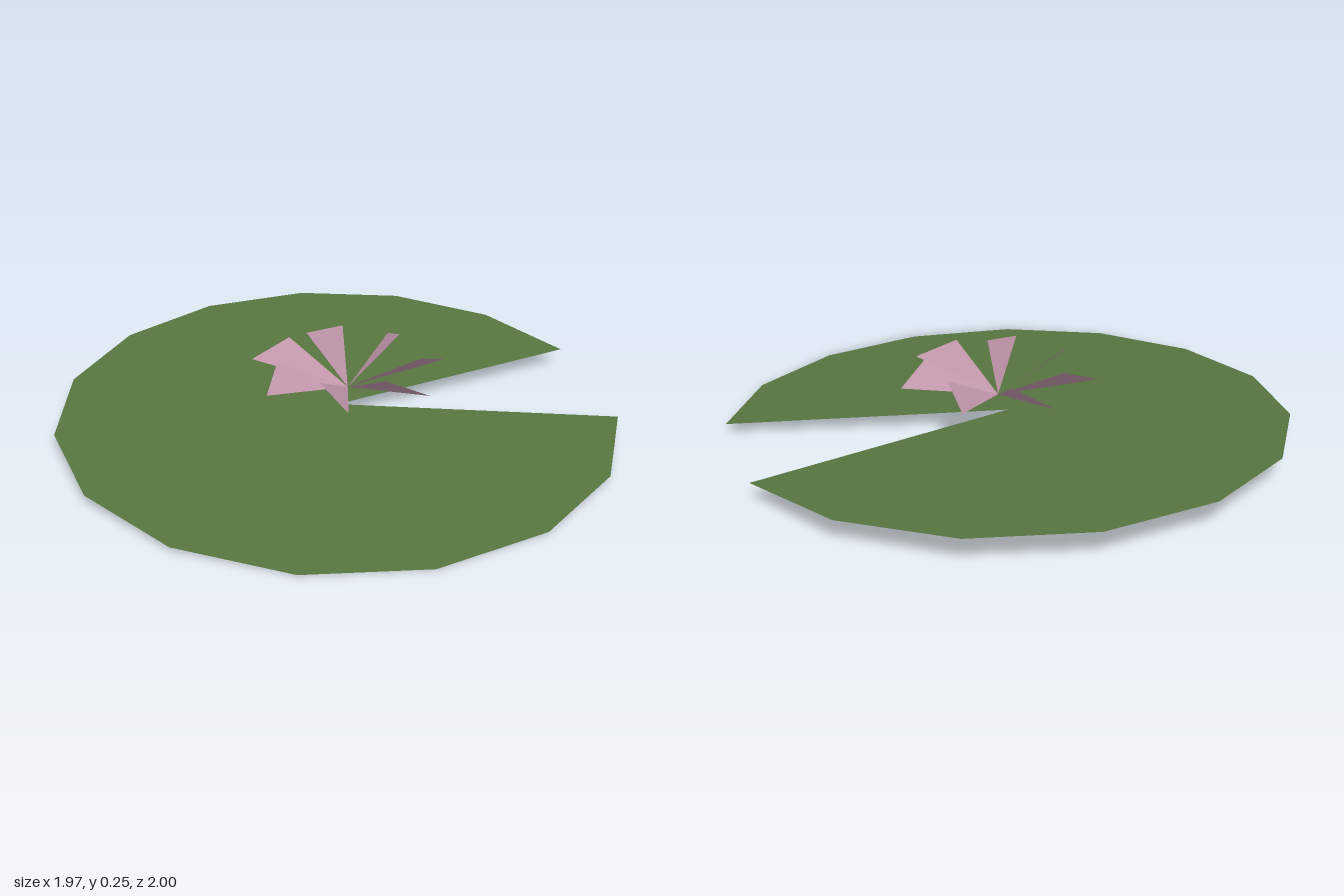
import * as THREE from 'three';

const padGreen = new THREE.MeshStandardMaterial({ name: 'padGreen', color: 0x56753f, side: THREE.DoubleSide });
const petalPink = new THREE.MeshStandardMaterial({ name: 'petalPink', color: 0xc095aa, side: THREE.DoubleSide });

// Notched, slightly tilted leaf with a barely raised middle
function createPad() {
  const halfNotch = 0.274;
  const disc = new THREE.CircleGeometry(1.002, 14, halfNotch, Math.PI * 2 - halfNotch * 2);
  disc.rotateX(-Math.PI / 2);
  const pos = disc.attributes.position;
  for (let i = 0; i < pos.count; i++) pos.setY(i, -0.05 * pos.getZ(i));
  pos.setY(0, 0.01);
  const geometry = disc.toNonIndexed();
  geometry.computeVertexNormals();
  const pad = new THREE.Mesh(geometry, padGreen);
  pad.name = 'lilyPad';
  pad.position.set(0.018, 0.05, 0);
  return pad;
}

// Seven twisted triangular petals around one point
function createFlower() {
  const flower = new THREE.Group();
  flower.name = 'flower';
  const geometry = new THREE.BufferGeometry().setFromPoints([
    new THREE.Vector3(0, 0, 0),
    new THREE.Vector3(0.24, 0.13, 0.096),
    new THREE.Vector3(0.355, 0.073, 0),
  ]);
  geometry.computeVertexNormals();
  const count = 7;
  for (let i = 0; i < count; i++) {
    const petal = new THREE.Mesh(geometry, petalPink);
    petal.name = `petal${i + 1}`;
    petal.rotation.y = (i / count) * Math.PI * 2;
    flower.add(petal);
  }
  flower.position.set(0.055, 0.125, 0);
  return flower;
}

export function createModel() {
  const model = new THREE.Group();
  model.name = 'waterLily';
  model.add(createPad(), createFlower());
  return model;
}
